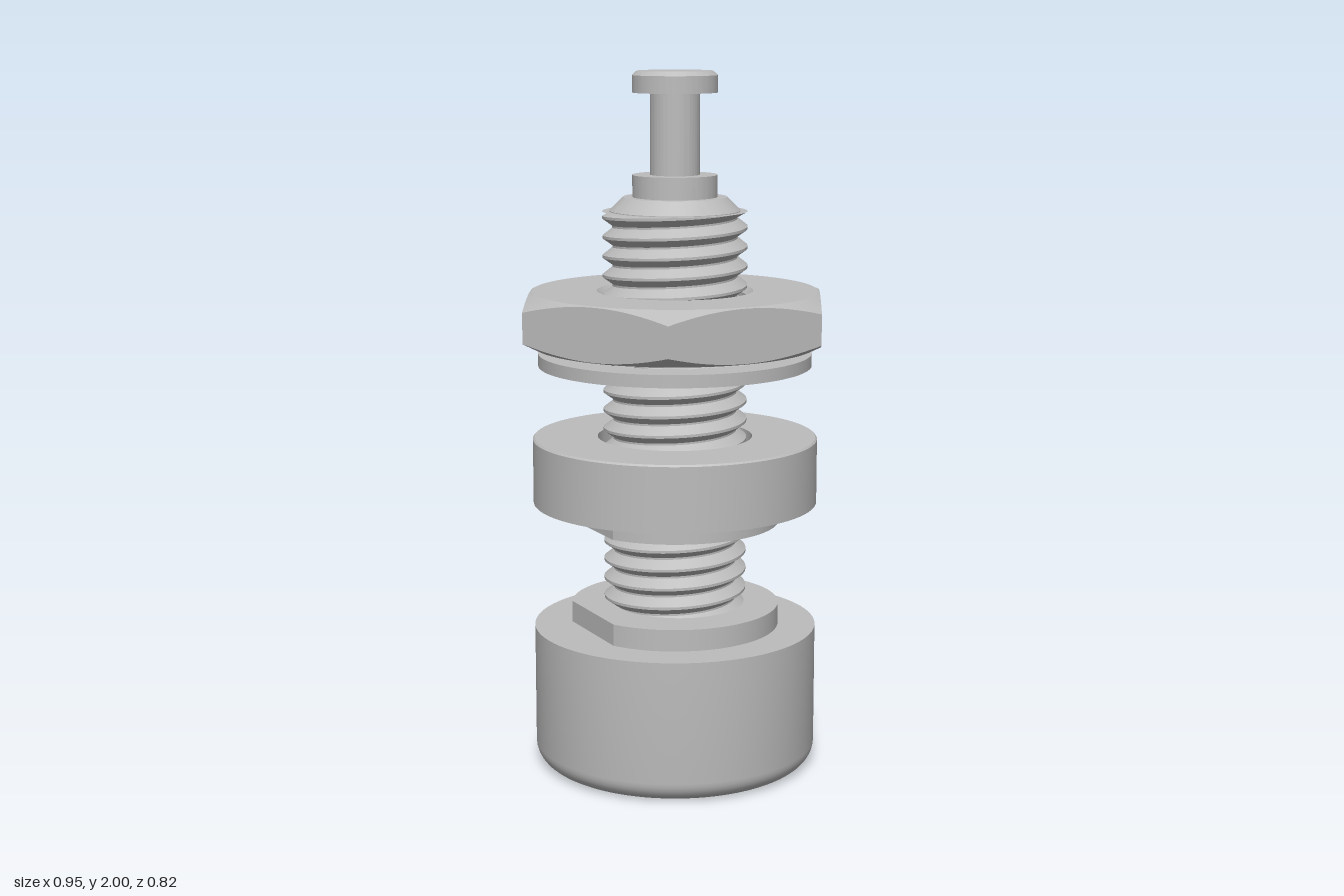
import * as THREE from 'three';
import { toCreasedNormals } from 'three/addons/utils/BufferGeometryUtils.js';

const SEGS = 120;

// Sweeps a profile of [radius, y] points around the y axis; the profile may change with angle.
function sweep(profileAt) {
  const pos = [], index = [];
  let n = 0;
  for (let i = 0; i <= SEGS; i++) {
    const a = (i / SEGS) * Math.PI * 2;
    const profile = profileAt(a);
    n = profile.length;
    for (const [r, y] of profile) pos.push(r * Math.cos(a), y, -r * Math.sin(a));
  }
  for (let i = 0; i < SEGS; i++) {
    for (let k = 0; k < n - 1; k++) {
      const a = i * n + k, b = a + n;
      index.push(a, b, b + 1, a, b + 1, a + 1);
    }
  }
  const g = new THREE.BufferGeometry();
  g.setAttribute('position', new THREE.Float32BufferAttribute(pos, 3));
  g.setIndex(index);
  return toCreasedNormals(g, 0.35);
}

// Circle of radius 0.3 with one flat on the -x side.
function flattedRadius(a) {
  const c = -Math.cos(a), limit = Math.cos(THREE.MathUtils.degToRad(27));
  return c > limit ? (0.3 * limit) / c : 0.3;
}

// Hexagon with corners on the x axis.
function hexRadius(a) {
  const step = Math.PI / 3;
  const local = (a % step) - step / 2;
  return 0.41 / Math.cos(local);
}

export function createModel() {
  const model = new THREE.Group();
  const metal = new THREE.MeshStandardMaterial({ color: 0xbcbcbc });
  const add = (name, geometry, parent = model) => {
    const mesh = new THREE.Mesh(geometry, metal);
    mesh.name = name;
    parent.add(mesh);
    return mesh;
  };

  // Base cap with rounded lower edge and a blind socket
  const cap = [[0, 0.36], [0.205, 0.36], [0.205, 0]];
  for (let i = 0; i <= 8; i++) {
    const t = (i / 8) * Math.PI / 2;
    cap.push([0.348 + 0.06 * Math.sin(t), 0.06 - 0.06 * Math.cos(t)]);
  }
  cap.push([0.408, 0.41], [0, 0.41]);
  add('baseCap', sweep(() => cap));
  add('baseCollar', sweep(a => {
    const r = flattedRadius(a);
    return [[r, 0.41], [r, 0.472], [0, 0.472]];
  }));

  // Threaded rod: a helical ridge, trimmed at both ends
  const pitch = 0.055, low = 0.44, high = 1.61;
  const tooth = [[0.177, 0], [0.177, 0.1], [0.205, 0.46], [0.205, 0.6]];
  const turns = Math.ceil((high - low) / pitch) + 1;
  add('threadedRod', sweep(a => {
    const points = [];
    for (let t = -1; t < turns; t++) {
      for (const [r, f] of tooth) {
        const y = low + pitch * (t + f + a / (Math.PI * 2));
        points.push([r, THREE.MathUtils.clamp(y, low, high)]);
      }
    }
    return points;
  }));
  add('rodTip', sweep(() => [[0, 1.605], [0.185, 1.605], [0.185, 1.612], [0.147, 1.65], [0, 1.65]]));

  // Insulating bushing: thick ring with a flatted collar beneath
  const bushing = new THREE.Group();
  bushing.name = 'bushing';
  model.add(bushing);
  add('bushingRing', sweep(() => [
    [0.222, 0.965], [0.222, 0.775], [0.408, 0.775], [0.408, 0.96], [0.403, 0.965], [0.222, 0.965],
  ]), bushing);
  add('bushingCollar', sweep(a => {
    const r = flattedRadius(a);
    return [[0.222, 0.775], [0.222, 0.717], [r, 0.717], [r, 0.775]];
  }), bushing);

  // Lock washer with twisted inner teeth
  const washer = new THREE.Group();
  washer.name = 'lockWasher';
  model.add(washer);
  add('washerRing', sweep(() => [
    [0.295, 1.208], [0.295, 1.172], [0.39, 1.172], [0.39, 1.208], [0.295, 1.208],
  ]), washer);
  const toothBox = new THREE.BoxGeometry(0.1, 0.034, 0.12, 5, 1, 1);
  const p = toothBox.attributes.position;
  for (let i = 0; i < p.count; i++) {
    const t = 0.5 - p.getX(i) / 0.1; // 0 at the root, 1 at the tip
    const twist = 0.5 * t, y = p.getY(i), z = p.getZ(i) * (1 - 0.25 * t);
    p.setY(i, y * Math.cos(twist) - z * Math.sin(twist));
    p.setZ(i, y * Math.sin(twist) + z * Math.cos(twist));
  }
  const toothGeometry = toCreasedNormals(toothBox, 0.35);
  for (let i = 0; i < 12; i++) {
    const a = (i / 12) * Math.PI * 2;
    const mesh = add('washerTooth', toothGeometry, washer);
    mesh.position.set(0.26 * Math.cos(a), 1.19, -0.26 * Math.sin(a));
    mesh.rotation.y = a;
  }

  // Hex nut, corners chamfered above and below, countersunk hole
  add('hexNut', sweep(a => {
    const r = hexRadius(a), drop = Math.max(0, r - 0.405) * 0.5;
    return [
      [0.222, 1.386], [0.205, 1.369], [0.205, 1.248], [0.222, 1.231],
      [0.405, 1.231], [r, 1.231 + drop], [r, 1.386 - drop], [0.405, 1.386], [0.222, 1.386],
    ];
  }));

  // Terminal pin: collar, shaft and chamfered head
  add('terminalPin', sweep(() => [
    [0.12, 1.65], [0.12, 1.712], [0.07, 1.712], [0.07, 1.94],
    [0.12, 1.94], [0.12, 1.988], [0.107, 2], [0, 2],
  ]));

  return model;
}
